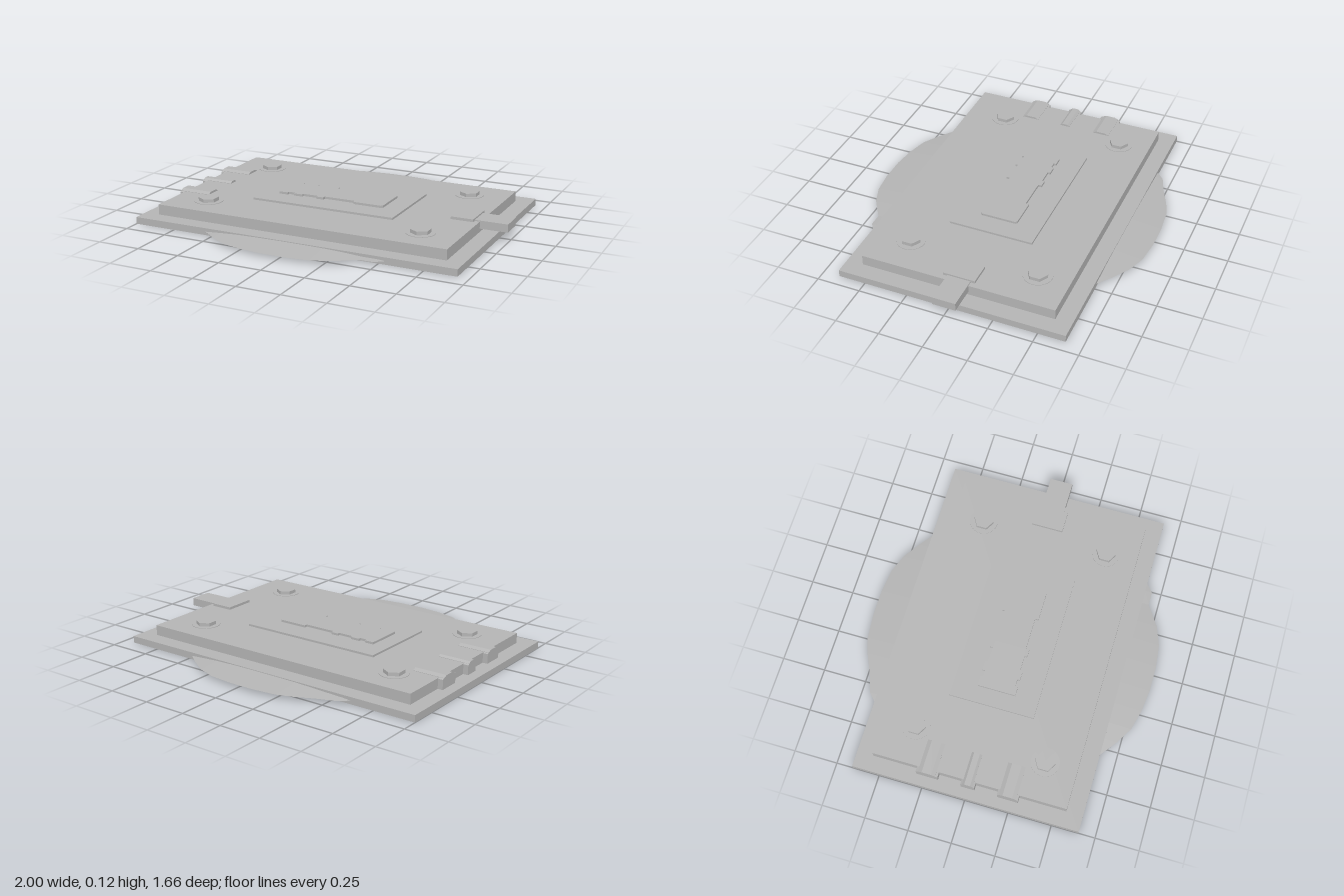
import * as THREE from 'three';

export function createModel() {
  const model = new THREE.Group();
  const steel = new THREE.MeshStandardMaterial({ color: 0xb4b4b4, side: THREE.DoubleSide });
  steel.name = 'grey steel';

  const add = (name, geometry) => {
    const mesh = new THREE.Mesh(geometry, steel);
    mesh.name = name;
    model.add(mesh);
    return mesh;
  };
  // Box given by its limits on each axis
  const box = (name, x0, x1, y0, y1, z0, z1) =>
    add(name, new THREE.BoxGeometry(x1 - x0, y1 - y0, z1 - z0))
      .position.set((x0 + x1) / 2, (y0 + y1) / 2, (z0 + z1) / 2);
  const outline = (pts) => new THREE.Shape(pts.map(([x, y]) => new THREE.Vector2(x, y)));

  // Frame, door and raised centre panel
  box('basePlate', -1, 0.935, 0, 0.04, -0.655, 0.655);
  box('doorPlate', -0.91, 0.84, 0.04, 0.1, -0.56, 0.56);
  box('centrePanel', -0.47, 0.4, 0.1, 0.112, -0.25, 0.245);

  // Notched emblem plate, mirrored front to back
  const edge = [
    [-0.375, 0.11], [-0.32, 0.11], [-0.32, 0.095], [-0.28, 0.095], [-0.28, 0.11], [-0.225, 0.11],
    [-0.225, 0.095], [-0.135, 0.095], [-0.135, 0.11], [-0.09, 0.11], [-0.09, 0.09], [0.1, 0.09],
    [0.1, 0.11], [0.27, 0.11], [0.28, 0.1],
  ];
  const mirrored = edge.map(([x, z]) => [x, -z]).reverse();
  const emblem = new THREE.ExtrudeGeometry(outline([...edge, ...mirrored]), { depth: 0.013, bevelEnabled: false });
  emblem.rotateX(-Math.PI / 2);
  add('emblemPlate', emblem).position.y = 0.112;

  // Hex bolts on thin washers
  for (const x of [-0.69, 0.62]) {
    for (const z of [-0.375, 0.375]) {
      add('washer', new THREE.CylinderGeometry(0.082, 0.082, 0.003, 24)).position.set(x, 0.1015, z);
      const head = new THREE.CylinderGeometry(0.058, 0.058, 0.022, 6).toNonIndexed();
      head.computeVertexNormals();
      add('boltHead', head).position.set(x, 0.112, z);
    }
  }

  // Hinges: ridged strap on the door and a knuckle over its edge
  const ridge = (name, halfWidth, y0, y1, x0, x1, z) => {
    const w = halfWidth;
    const profile = outline([[-w, y0], [w, y0], [w, y1 - 0.01], [w * 0.55, y1], [-w * 0.55, y1], [-w, y1 - 0.01]]);
    const g = new THREE.ExtrudeGeometry(profile, { depth: x1 - x0, bevelEnabled: false });
    g.rotateY(Math.PI / 2);
    add(name, g).position.set(x0, 0, z);
  };
  for (const [z, strap, knuckle] of [[-0.235, 0.05, 0.063], [0, 0.03, 0.04], [0.23, 0.05, 0.06]]) {
    ridge('hingeStrap', strap, 0.095, 0.112, -0.94, -0.75, z);
    ridge('hingeKnuckle', knuckle, 0.04, 0.106, -0.94, -0.908, z);
  }

  // Latch pad and projecting tongue
  box('latchPad', 0.68, 0.81, 0.1, 0.115, -0.095, 0.09);
  box('latchTongue', 0.8, 1, 0.06, 0.106, -0.07, 0.065);

  // Thin tapering lobes emerging from both long sides of the base
  const lobe = (name, rim, side) => {
    const root = 0.65, pos = [], index = [];
    for (const [x, z] of rim) {
      const reach = z - root;
      pos.push(x, 0.02 + reach * 0.09, side * root, x, 0.02, side * z, x, 0.018 - reach * 0.04, side * root);
    }
    for (let i = 0; i < rim.length - 1; i++) {
      for (let k = 0; k < 2; k++) {
        const a = i * 3 + k, b = a + 1, c = a + 3, d = a + 4;
        if (side > 0) index.push(a, b, c, b, d, c);
        else index.push(a, c, b, b, c, d);
      }
    }
    const g = new THREE.BufferGeometry();
    g.setAttribute('position', new THREE.Float32BufferAttribute(pos, 3));
    g.setIndex(index);
    const flat = g.toNonIndexed();
    flat.computeVertexNormals();
    add(name, flat);
  };
  lobe('frontLobe', [
    [-0.55, 0.65], [-0.45, 0.725], [-0.35, 0.785], [-0.23, 0.815], [-0.1, 0.83], [0.05, 0.83],
    [0.18, 0.815], [0.29, 0.775], [0.41, 0.695], [0.49, 0.695], [0.545, 0.65],
  ], 1);
  lobe('backLobe', [
    [-0.615, 0.65], [-0.56, 0.7], [-0.45, 0.74], [-0.34, 0.79], [-0.25, 0.82], [-0.1, 0.835],
    [0.05, 0.835], [0.19, 0.82], [0.3, 0.78], [0.4, 0.715], [0.485, 0.65],
  ], -1);

  return model;
}
